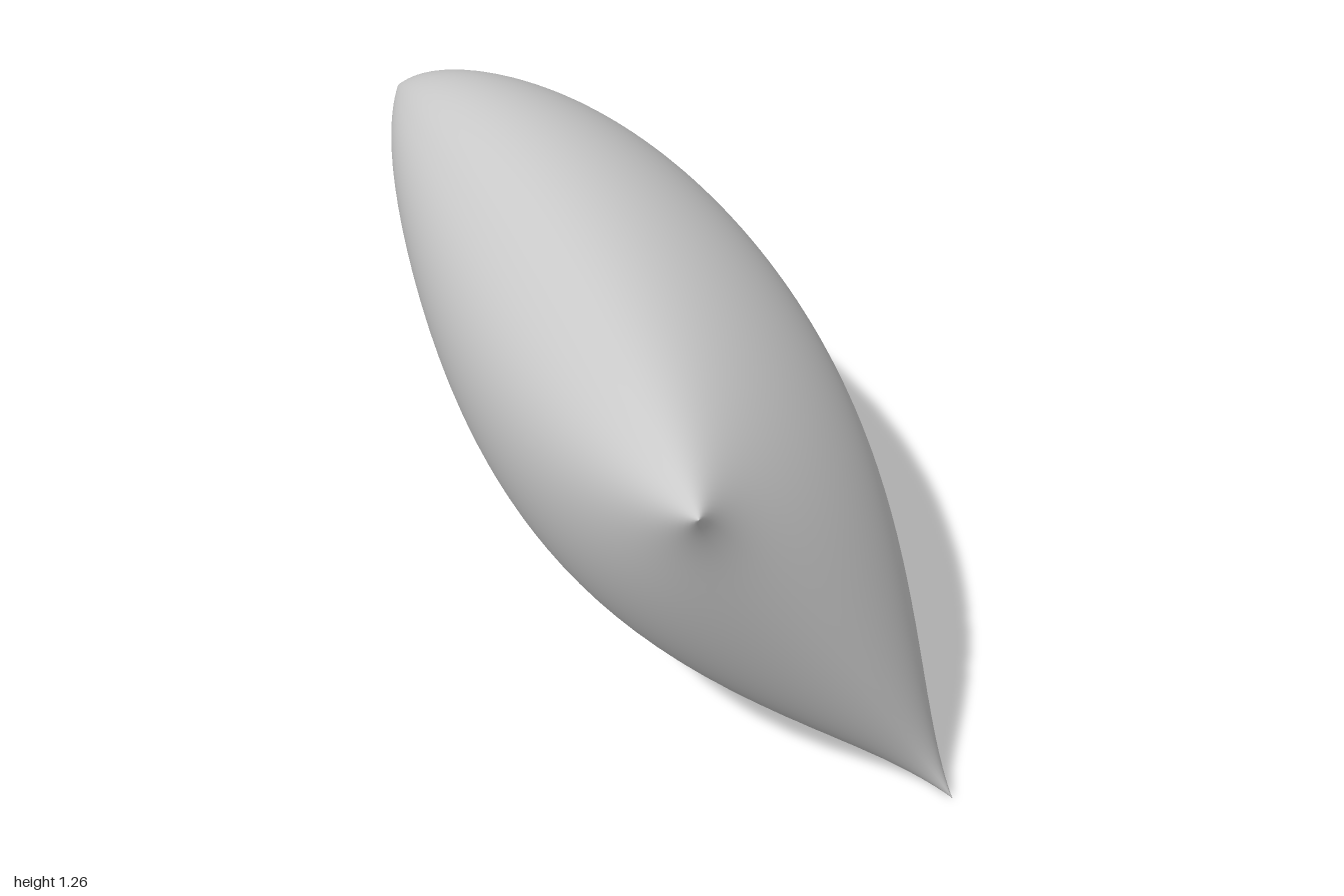
import * as THREE from 'three';
import { mergeVertices } from 'three/addons/utils/BufferGeometryUtils.js';

const N = 56; // grid divisions per side of the cushion

// the four cushion tips
const frontLow = new THREE.Vector3(0.355, 0, 0.835);
const frontHigh = new THREE.Vector3(-0.385, 1.155, 0.998);
const backLow = new THREE.Vector3(0.485, 0.59, -0.985);
const backHigh = new THREE.Vector3(-0.27, 1.14, -0.93);

const mix = (a, b, t) => new THREE.Vector3().lerpVectors(a, b, t);

// point on the puffed sheet: u low to high, v front to back, side +1 upper or -1 lower
function cushionPoint(u, v, side) {
  const low = (1 - u) / 2, high = (1 + u) / 2;
  const near = (1 - v) / 2, far = (1 + v) / 2;
  const alongV = 1 - v ** 6, alongU = 1 - u ** 8; // fade edge shifts out at the tips
  // the low and front edges are drawn in, the high and back edges swell
  const pu = u + (0.1 * low + 0.085 * (1 + 0.5 * v) * high) * alongV;
  const pv = v + (0.045 * near + (0.025 + 0.03 * u) * far) * alongU;
  const s = (pu + 1) / 2, t = (pv + 1) / 2;
  const front = mix(frontLow, frontHigh, s), back = mix(backLow, backHigh, s);
  const along = mix(frontHigh, backHigh, t).sub(mix(frontLow, backLow, t));
  const normal = back.clone().sub(front).cross(along).normalize();
  // thin low edge, full high edge; the lower face is fuller and the low edge sags
  const power = 0.56 * low + 0.46 * high;
  const height = side > 0 ? 0.38 * (1 - 0.75 * (low * far) ** 3) : 0.42; // upper face pinched at the low back tip
  const puff = height * Math.pow(Math.max(0, (1 - u * u) * (1 - v * v)), power);
  const sag = 0.038 * low * alongV;
  return mix(front, back, t).addScaledVector(normal, side * puff - sag);
}

function cushionGeometry() {
  const positions = [], indices = [];
  const step = (i) => Math.sin((i / N - 0.5) * Math.PI); // denser towards the edges
  for (const side of [1, -1]) {
    const base = positions.length / 3;
    for (let j = 0; j <= N; j++)
      for (let i = 0; i <= N; i++)
        positions.push(...cushionPoint(step(i), step(j), side).toArray());
    for (let j = 0; j < N; j++)
      for (let i = 0; i < N; i++) {
        const a = base + j * (N + 1) + i, b = a + 1, c = a + N + 1, d = c + 1;
        if (side > 0) indices.push(a, c, b, b, c, d);
        else indices.push(a, b, c, b, d, c);
      }
  }
  let geometry = new THREE.BufferGeometry();
  geometry.setAttribute('position', new THREE.Float32BufferAttribute(positions, 3));
  geometry.setIndex(indices);
  geometry = mergeVertices(geometry, 1e-5); // join both halves along the rim
  geometry.computeVertexNormals();
  return geometry;
}

export function createModel() {
  const group = new THREE.Group();
  group.name = 'pillow';
  const cushion = new THREE.Mesh(cushionGeometry(), new THREE.MeshStandardMaterial({ color: 0xcccccc }));
  cushion.name = 'cushion';
  group.add(cushion);
  return group;
}
